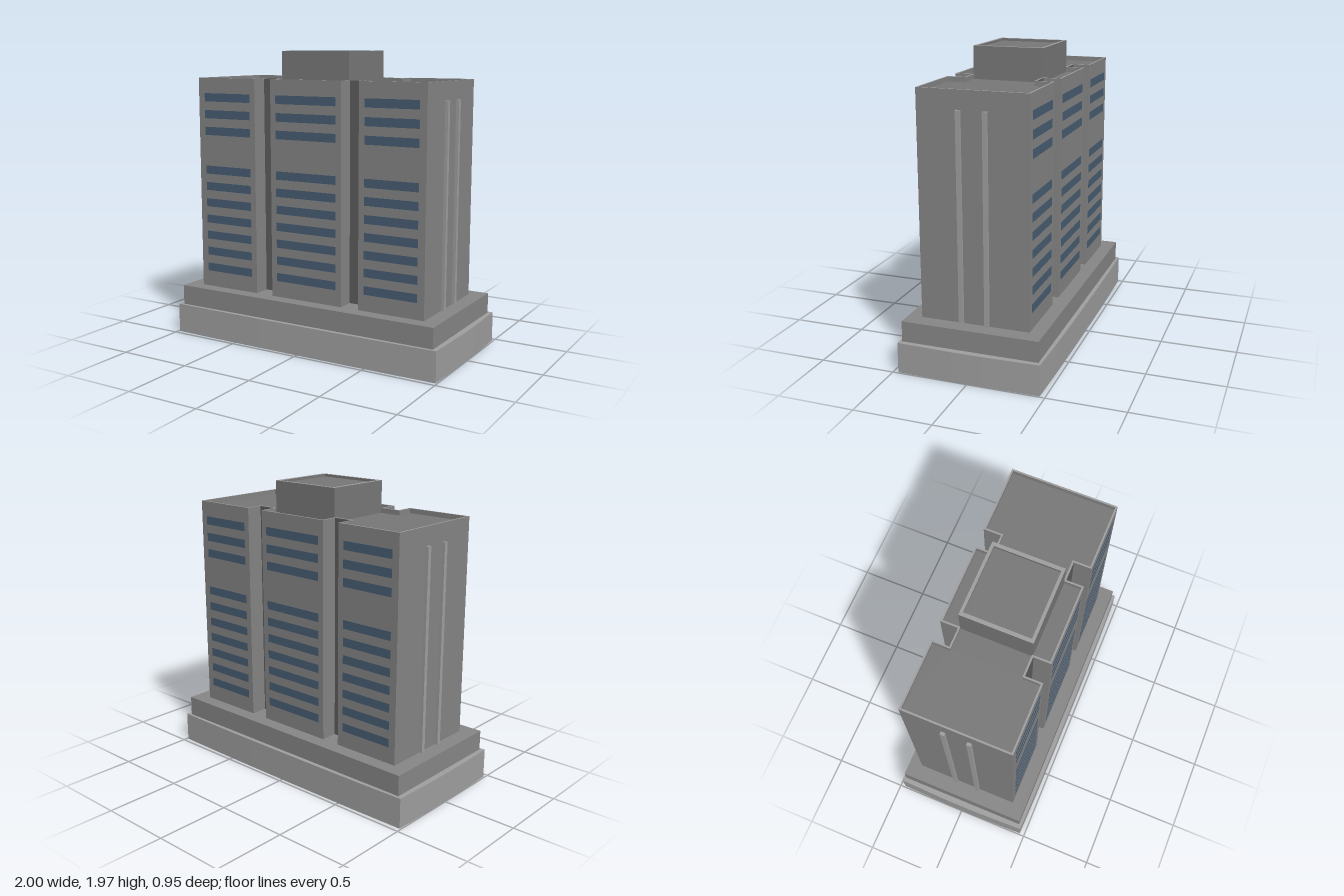
import * as THREE from 'three';

const paint = (color) => new THREE.MeshStandardMaterial({ color, flatShading: true });
const paleStone = paint(0x9e9e9e);
const podiumStone = paint(0x868686);
const wall = paint(0x848484);
const roof = paint(0x777777);
const shade = paint(0x5c5c5c);
const glass = paint(0x485d72);

const toShape = (pts) => new THREE.Shape(pts.map(([x, z]) => new THREE.Vector2(x, z)));

// Mirror a quarter outline (running from the end, z = 0, to the front, x = 0) to all four sides
function mirrored(q) {
  const half = [...q, ...[...q].reverse().map(([x, z]) => [-x, z])];
  return [...half, ...half.map(([x, z]) => [-x, -z])];
}

// Upright prism of a plan outline between two heights, with separate cap and side materials
function prism(name, outline, y0, y1, cap, side, hole) {
  const shape = toShape(outline);
  if (hole) shape.holes.push(toShape(hole));
  const geo = new THREE.ExtrudeGeometry(shape, { depth: y1 - y0, bevelEnabled: false });
  geo.rotateX(-Math.PI / 2).translate(0, y0, 0);
  const mesh = new THREE.Mesh(geo, [cap, side]);
  mesh.name = name;
  return mesh;
}

function box(name, w, h, d, x, y, z, material) {
  const mesh = new THREE.Mesh(new THREE.BoxGeometry(w, h, d), material);
  mesh.name = name;
  mesh.position.set(x, y, z);
  return mesh;
}

// Plinth plan whose sides bow out very slightly
const plinthPlan = mirrored([[1, 0.1], [0.99, 0.466], [0.68, 0.472], [0.3, 0.475]]);

// Tower plan with a notch either side of the middle bay, inset by d
const towerPlan = (d) => mirrored([
  [0.855 - d, 0.355 - d], [0.393 + d, 0.355 - d], [0.393 + d, 0.24 - d],
  [0.267 - d, 0.24 - d], [0.267 - d, 0.355 - d],
]);

const rect = (x, z) => mirrored([[x, z]]);

export function createModel() {
  const model = new THREE.Group();
  model.name = 'towerBlock';

  // Two-step base
  model.add(prism('plinth', plinthPlan, 0, 0.2, paleStone, paleStone));
  model.add(prism('podium', rect(0.96, 0.447), 0.2, 0.335, podiumStone, podiumStone));

  // Main tower with a thin parapet around the sunken roof
  model.add(prism('tower', towerPlan(0), 0.335, 1.752, roof, wall));
  model.add(prism('towerParapet', towerPlan(0), 1.752, 1.784, paleStone, wall, towerPlan(0.012)));

  // Rooftop plant room
  model.add(prism('plantRoom', rect(0.253, 0.233), 1.752, 1.948, roof, roof));
  model.add(prism('plantRoomParapet', rect(0.253, 0.233), 1.948, 1.965, paleStone, roof, rect(0.228, 0.213)));

  // Dark back walls of the four notches, and pairs of vertical fins on both ends
  const notches = new THREE.Group();
  notches.name = 'notchBacks';
  const fins = new THREE.Group();
  fins.name = 'endFins';
  for (const sx of [-1, 1]) for (const sz of [-1, 1]) {
    notches.add(box('notchBack', 0.126, 1.448, 0.008, sx * 0.33, 1.059, sz * 0.238, shade));
    fins.add(box('fin', 0.03, 1.33, 0.028, sx * 0.86, 1.0, sz * 0.084, paleStone));
  }
  model.add(notches, fins);

  // Window bands: seven lower floors and three upper floors, front and back
  const floors = [];
  for (let i = 0; i < 7; i++) floors.push(0.471 + i * 0.1143);
  for (let i = 0; i < 3; i++) floors.push(1.424 + i * 0.1143);
  const bays = [[-0.62, 0.373], [0, 0.453], [0.62, 0.373]];
  for (const side of [1, -1]) {
    const windows = new THREE.Group();
    windows.name = side > 0 ? 'frontWindows' : 'backWindows';
    for (const [x, w] of bays) for (const y of floors) {
      windows.add(box('windowBand', w, 0.056, 0.006, x, y, side * 0.3533, glass));
    }
    model.add(windows);
  }
  return model;
}
